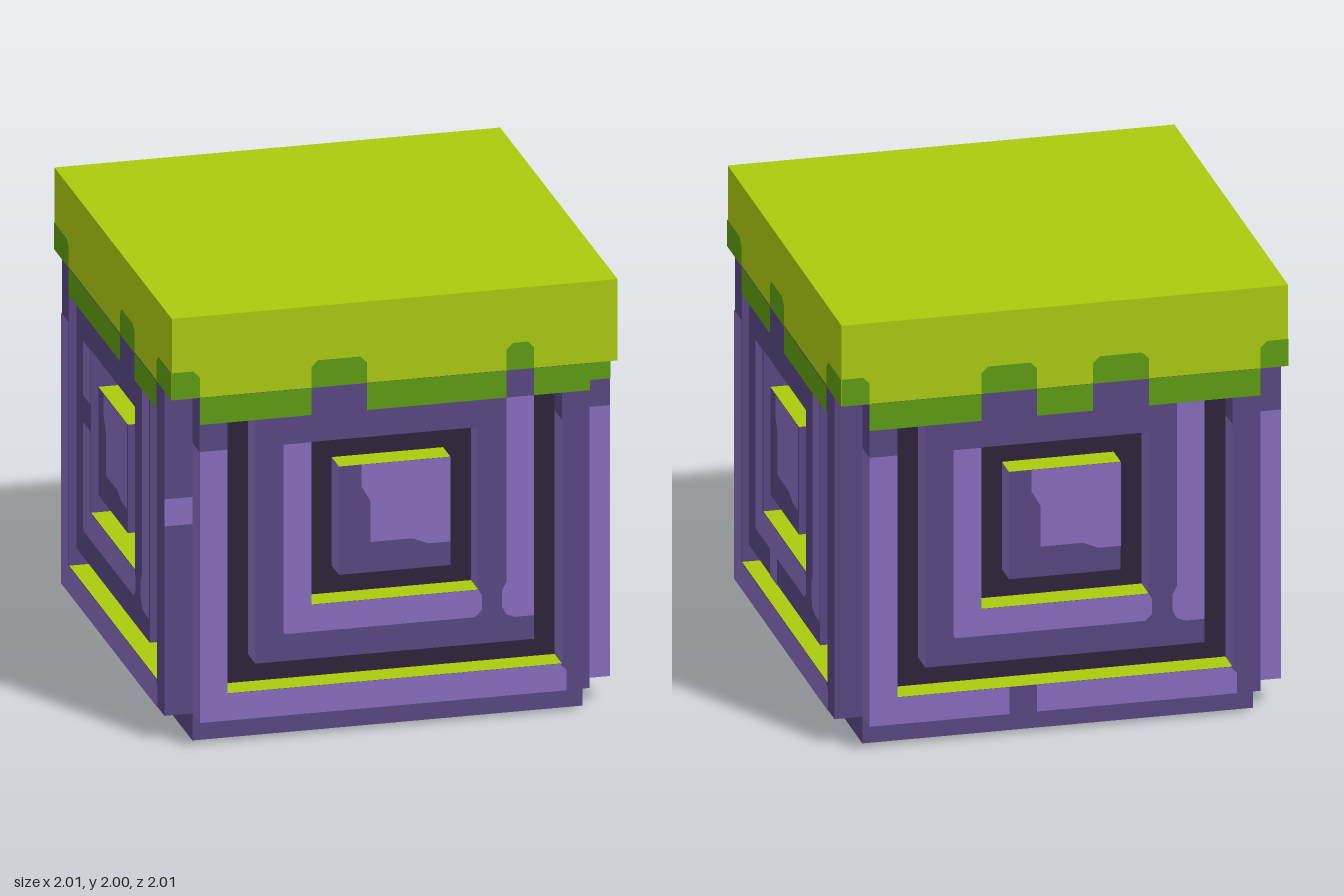
import * as THREE from 'three';

const paint = (name, color, extra = {}) =>
  Object.assign(new THREE.MeshStandardMaterial({ color, ...extra }), { name });

export function createModel() {
  const lime = paint('lime', 0xadca0e);
  const green = paint('leaf green', 0x5e9c10);
  const light = paint('light purple', 0x876dbf);
  const mid = paint('mid purple', 0x584682);
  const dark = paint('dark purple', 0x2d2339);

  const model = new THREE.Group();
  model.name = 'carvedBlock';

  // Box given by its limits
  function box(parent, name, [x0, x1], [y0, y1], [z0, z1], material) {
    const mesh = new THREE.Mesh(new THREE.BoxGeometry(x1 - x0, y1 - y0, z1 - z0), material);
    mesh.position.set((x0 + x1) / 2, (y0 + y1) / 2, (z0 + z1) / 2);
    mesh.name = name;
    parent.add(mesh);
  }

  // Flat painted patch lying just in front of a face
  function patch(parent, name, points, material, z = 1) {
    const shape = new THREE.Shape(points.map(([x, y]) => new THREE.Vector2(x, y)));
    const mesh = new THREE.Mesh(new THREE.ShapeGeometry(shape), material);
    mesh.position.z = z + 0.003;
    mesh.name = name;
    parent.add(mesh);
  }
  const rect = (x0, x1, y0, y1) => [[x0, y0], [x1, y0], [x1, y1], [x0, y1]];

  // Faces in the order +x, -x, +y, -y, +z, -z: lit left sides, mossy ledges
  const stone = [mid, light, lime, mid, mid, mid];
  const plain = [mid, mid, lime, mid, mid, mid];
  const depth = [0.875, 1];

  // Solid core, base and grass cap
  box(model, 'base', [-0.875, 0.875], [0, 0.125], [-0.875, 0.875], mid);
  box(model, 'core', [-0.875, 0.875], [0.125, 1.625], [-0.875, 0.875], dark);
  box(model, 'cap', [-1, 1], [1.625, 2], [-1, 1], [lime, lime, lime, mid, lime, lime]);

  // One carved side; notches are the gaps in the hanging grass
  function side({ name, angle, notches, barGap, ringGap, link, edgeSpot }) {
    const g = new THREE.Group();
    g.name = name;
    g.rotation.y = angle;

    // Outer frame
    for (const [a, b] of [[-0.875, -0.75], [0.75, 0.875]]) {
      box(g, 'post', [a, b], [0.125, 1.375], depth, stone);
      box(g, 'postTop', [a, b], [1.375, 1.5], depth, plain);
    }
    box(g, 'bottomBar', [-0.75, 0.75], [0.125, 0.25], depth, stone);
    box(g, 'topRow', [-0.875, 0.875], [1.5, 1.625], depth, mid);

    // Middle ring and centre block
    box(g, 'ringLeft', [-0.625, -0.375], [0.375, 1.5], depth, stone);
    box(g, 'ringRight', [0.375, 0.625], [0.375, 1.5], depth, stone);
    box(g, 'ringBottom', [-0.375, 0.375], [0.375, 0.625], depth, stone);
    box(g, 'ringTop', [-0.375, 0.375], [1.375, 1.5], depth, stone);
    box(g, 'centreBlock', [-0.25, 0.25], [0.75, 1.25], depth, stone);

    // Light highlights on the frame
    patch(g, 'postHighlight', rect(-0.875, -0.75, 0.25, 1.375), light);
    const bar = [[-0.875, 0.125], [0.77, 0.125], [0.77, 0.22], [0.74, 0.25], [-0.875, 0.25]];
    if (barGap) {
      patch(g, 'barHighlight', rect(-0.875, barGap[0], 0.125, 0.25), light);
      patch(g, 'barHighlight', [[barGap[1], 0.125], ...bar.slice(1, 4), [barGap[1], 0.25]], light);
    } else patch(g, 'barHighlight', bar, light);

    // Light highlights on the ring
    const spans = ringGap ? [[0.625, ringGap[0]], [ringGap[1], 1.375]] : [[0.625, 1.375]];
    for (const [a, b] of spans) patch(g, 'ringHighlight', rect(-0.5, -0.375, a, b), light);
    patch(g, 'ringHighlight', [[-0.49, 0.5], [0.36, 0.5], [0.39, 0.53], [0.39, 0.6],
      [0.375, 0.625], [-0.5, 0.625], [-0.5, 0.51]], light);
    patch(g, 'ringHighlight', [[0.54, 0.485], [0.625, 0.485], [0.625, 1.5], [0.5, 1.5],
      [0.5, 0.65], [0.48, 0.61], [0.48, 0.54], [0.5, 0.5]], light);
    if (link) patch(g, 'ringLink', rect(...link, 0.375, 0.5), light);

    // Centre highlight
    patch(g, 'centreHighlight', [[-0.15, 1.25], [-0.15, 1.15], [-0.11, 1.08], [-0.11, 0.89],
      [0.08, 0.89], [0.15, 0.86], [0.25, 0.86], [0.25, 1.25]], light);

    // Spot on the neighbouring post's edge
    if (edgeSpot) patch(g, 'edgeSpot', rect(-1, -0.875, 1, 1.125), light, 0.875);

    // Dark grass: tabs on the cap inside the notches, hanging fringe between them
    let start = -1;
    for (const [a, b] of [...notches, [1, 1]]) {
      if (b > a) {
        const l = a > -1 ? 0.03 : 0, r = b < 1 ? 0.03 : 0;
        patch(g, 'grassTab', [[a, 1.625], [b, 1.625], [b, 1.75 - r], [b - r, 1.75],
          [a + l, 1.75], [a, 1.75 - l]], green);
      }
      const x0 = Math.max(start, -0.875), x1 = Math.min(a, 0.875);
      if (x1 > x0) patch(g, 'grassFringe', rect(x0, x1, 1.5, 1.625), green);
      if (start < -0.875 && a > start) patch(g, 'cornerFringe', rect(-1, -0.875, 1.5, 1.625), green, 0.875);
      if (a > 0.875 && a > start) patch(g, 'cornerFringe', rect(0.875, 1, 1.5, 1.625), green, 0.875);
      start = b;
    }
    model.add(g);
  }

  side({ name: 'frontSide', angle: 0, edgeSpot: true,
    notches: [[-1, -0.875], [-0.375, -0.125], [0.5, 0.625]] });
  side({ name: 'leftSide', angle: Math.PI / 2, link: [-0.25, -0.125],
    notches: [[-1, -0.75], [-0.25, 0], [0.75, 1]] });
  side({ name: 'backSide', angle: Math.PI, barGap: [-0.25, -0.125],
    notches: [[-1, -0.875], [-0.375, -0.125], [0.125, 0.375], [0.875, 1]] });
  side({ name: 'rightSide', angle: -Math.PI / 2, ringGap: [1, 1.125],
    notches: [[-1, -0.75], [0.125, 0.375], [0.75, 1]] });

  return model;
}
